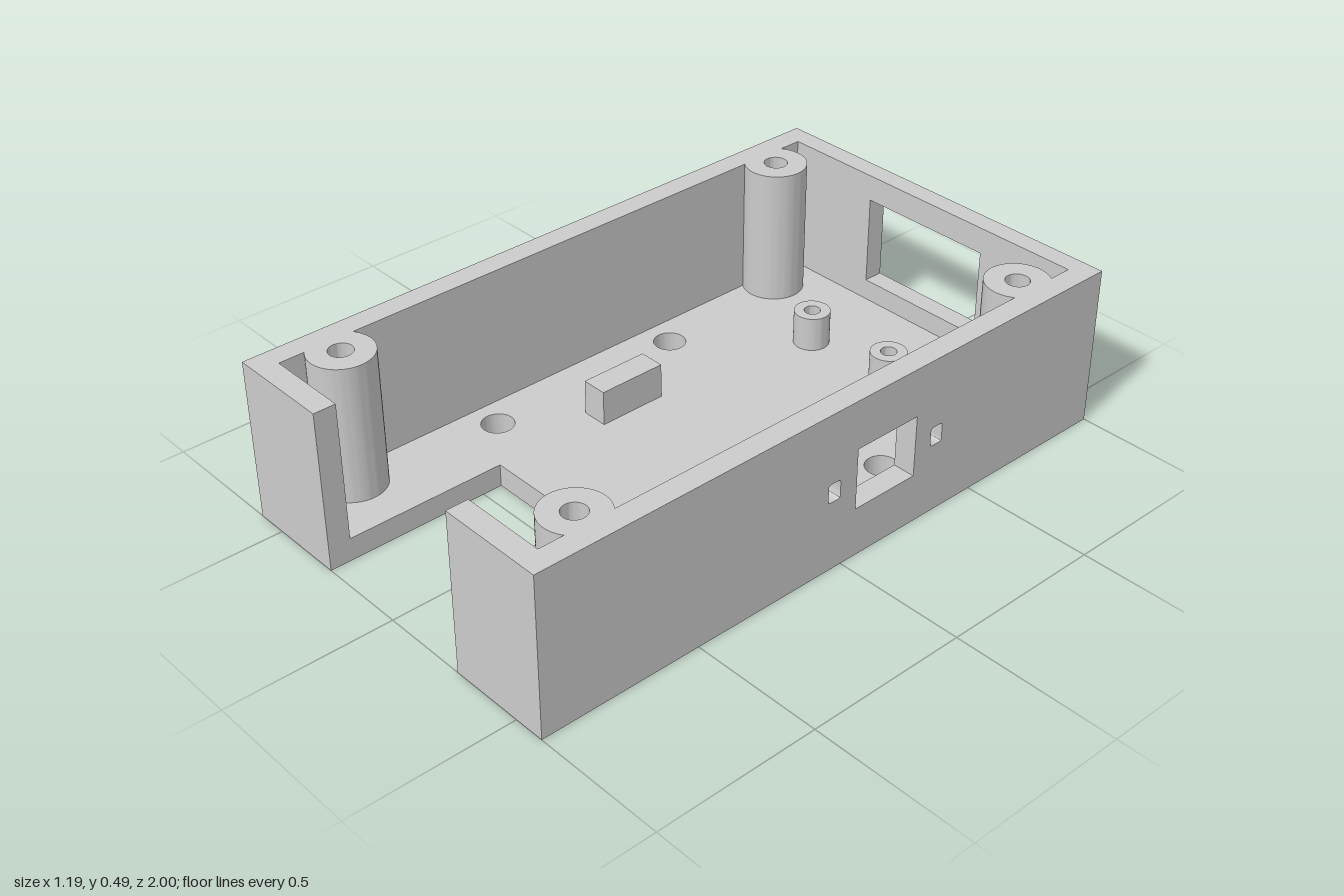
import * as THREE from 'three';
import { toCreasedNormals } from 'three/addons/utils/BufferGeometryUtils.js';

const W = 0.595, L = 1, H = 0.49;     // outer half width, half length, height
const IN = 0.527, ZF = 0.933, ZB = -0.938; // inner faces of the walls
const FLOOR = 0.07;

const material = new THREE.MeshStandardMaterial({ color: 0xcccccc });

function rect(Type, x0, y0, x1, y1) {
  const p = new Type();
  p.moveTo(x0, y0).lineTo(x1, y0).lineTo(x1, y1).lineTo(x0, y1).closePath();
  return p;
}

function roundSlot(x0, y0, x1, y1, r) {
  const p = new THREE.Path();
  p.absarc(x1 - r, y0 + r, r, -Math.PI / 2, 0);
  p.absarc(x1 - r, y1 - r, r, 0, Math.PI / 2);
  p.absarc(x0 + r, y1 - r, r, Math.PI / 2, Math.PI);
  p.absarc(x0 + r, y0 + r, r, Math.PI, Math.PI * 1.5);
  return p.closePath();
}

function circle(Type, x, y, r) {
  return new Type().absarc(x, y, r, 0, Math.PI * 2);
}

function extrude(shape, depth) {
  return new THREE.ExtrudeGeometry(shape, { depth, bevelEnabled: false, curveSegments: 24 });
}

export function createModel() {
  const model = new THREE.Group();
  model.name = 'enclosureBase';
  const add = (name, geometry) => {
    const mesh = new THREE.Mesh(toCreasedNormals(geometry, 0.6), material);
    mesh.name = name;
    model.add(mesh);
    return mesh;
  };
  // shape (x, -z) pushed upwards
  const upright = (shape, h, y) => extrude(shape, h).rotateX(-Math.PI / 2).translate(0, y, 0);

  // Floor with the front notch and four mounting holes
  const floor = new THREE.Shape();
  floor.moveTo(-W, -L).lineTo(-0.272, -L).lineTo(-0.272, -0.44).lineTo(0.27, -0.44)
    .lineTo(0.27, -L).lineTo(W, -L).lineTo(W, L).lineTo(-W, L).closePath();
  for (const x of [-0.435, 0.43])
    for (const z of [-0.327, 0.32]) floor.holes.push(circle(THREE.Path, x, -z, 0.048));
  add('floor', upright(floor, FLOOR, 0));

  // Side walls; the left one has a window and two small slots
  const left = rect(THREE.Shape, -L, FLOOR, L, H);
  left.holes.push(
    rect(THREE.Path, -0.267, 0.152, -0.048, 0.34),
    roundSlot(0.012, 0.217, 0.055, 0.275, 0.008),
    roundSlot(-0.37, 0.217, -0.327, 0.275, 0.008));
  add('leftWall', extrude(left, W - IN).rotateY(-Math.PI / 2).translate(W, 0, 0));
  const right = rect(THREE.Shape, -L, FLOOR, L, H);
  add('rightWall', extrude(right, W - IN).rotateY(-Math.PI / 2).translate(-IN, 0, 0));

  // Back wall with a large window
  const back = rect(THREE.Shape, -IN, FLOOR, IN, H);
  back.holes.push(rect(THREE.Path, -0.218, 0.135, 0.215, 0.41));
  add('backWall', extrude(back, L + ZB).translate(0, 0, -L));

  // Front wall halves either side of the notch
  add('frontWallLeft', extrude(rect(THREE.Shape, 0.27, FLOOR, IN, H), L - ZF).translate(0, 0, ZF));
  add('frontWallRight', extrude(rect(THREE.Shape, -IN, FLOOR, -0.272, H), L - ZF).translate(0, 0, ZF));

  // Screw pillars in the corners, cut off where they meet the side wall
  const px = 0.472, pr = 0.094, a = Math.acos((IN - px) / pr);
  const pillar = new THREE.Shape();
  pillar.absarc(0, 0, pr, a, Math.PI * 2 - a).closePath();
  pillar.holes.push(circle(THREE.Path, 0, 0, 0.035));
  for (const s of [-1, 1])
    for (const z of [-0.79, 0.78]) {
      const mesh = add('screwPillar', upright(pillar, H - FLOOR, FLOOR));
      mesh.position.set(s * px, 0, z);
      if (s < 0) mesh.rotation.y = Math.PI;
    }

  // Small board posts and support blocks
  const post = circle(THREE.Shape, 0, 0, 0.054);
  post.holes.push(circle(THREE.Path, 0, 0, 0.024));
  for (const s of [-1, 1]) {
    add('boardPost', upright(post, 0.107, FLOOR)).position.set(s * 0.154, 0, -0.64);
    add('supportBlock', new THREE.BoxGeometry(0.08, 0.107, 0.215))
      .position.set(s * 0.27, FLOOR + 0.0535, -0.004);
  }
  return model;
}
